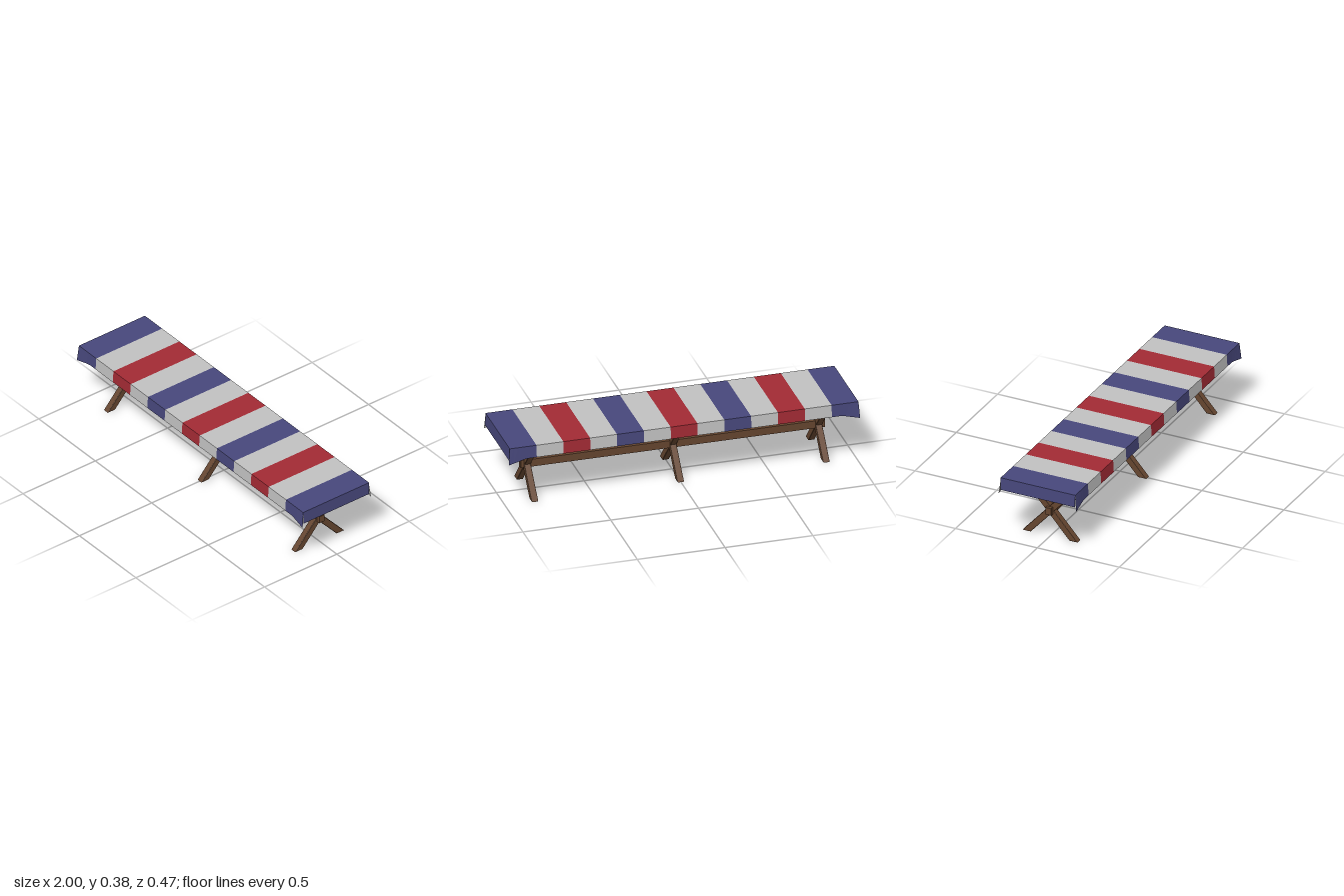
import * as THREE from 'three';

const mat = (name, color) => new THREE.MeshStandardMaterial({ name, color });

// Timber: a (z, y) outline run along x with chamfers of size b, centred on x = cx
function timber(name, outline, length, cx, material, b = 0.002) {
  const shape = new THREE.Shape(outline.map(([z, y]) => new THREE.Vector2(-z, y)));
  const geo = new THREE.ExtrudeGeometry(shape, {
    depth: length - 2 * b, bevelEnabled: true, bevelSize: b,
    bevelThickness: b, bevelOffset: -b, bevelSegments: 1,
  });
  geo.translate(0, 0, b - length / 2).rotateY(Math.PI / 2).translate(cx, 0, 0);
  const mesh = new THREE.Mesh(geo, material);
  mesh.name = name;
  return mesh;
}

const rect = (z0, z1, y0, y1) => [[z0, y0], [z1, y0], [z1, y1], [z0, y1]];

// Flat-shaded sheet from rows of points; flip turns it to face the other way
function sheet(name, rows, material, flip = false) {
  const pos = [];
  for (let i = 0; i < rows.length - 1; i++) {
    for (let j = 0; j < rows[i].length - 1; j++) {
      const a = rows[i][j], b = rows[i + 1][j], c = rows[i + 1][j + 1], d = rows[i][j + 1];
      const tris = flip ? [a, c, b, a, d, c] : [a, b, c, a, c, d];
      tris.forEach((p) => pos.push(...p));
    }
  }
  const geo = new THREE.BufferGeometry();
  geo.setAttribute('position', new THREE.Float32BufferAttribute(pos, 3));
  geo.computeVertexNormals();
  const mesh = new THREE.Mesh(geo, material);
  mesh.name = name;
  return mesh;
}

export function createModel() {
  const model = new THREE.Group();
  model.name = 'tableWithCloth';
  const wood = mat('brown wood', 0x65452f);
  const plankWood = mat('light brown wood', 0x835539);
  const blue = mat('blue cloth', 0x47477b);
  const red = mat('red cloth', 0xa22a34);
  const white = mat('white cloth', 0xc1c1c1);
  white.side = THREE.DoubleSide;

  // Crossed legs and the rail above each pair
  const topY = 0.342;
  const centre = (y) => (0.16 - y) * 0.897;
  for (const x of [-0.83, 0, 0.83]) {
    const trestle = new THREE.Group();
    trestle.name = 'trestle';
    for (const s of [-1, 1]) {
      const leg = [
        [centre(0) - 0.025, 0], [centre(0) + 0.025, 0],
        [centre(topY) + 0.025, topY], [centre(topY) - 0.025, topY],
      ].map(([z, y]) => [s * z, y]);
      trestle.add(timber('leg', leg, 0.036, x, wood));
    }
    trestle.add(timber('topRail', rect(-0.195, 0.195, 0.314, topY), 0.046, x, wood));
    model.add(trestle);
  }

  // Long beam through the crossings
  model.add(timber('stretcher', rect(-0.0175, 0.0175, 0.139, 0.183), 1.735, 0, wood, 0.001));

  // Table top planks
  const count = 7, width = 0.446 / count;
  for (let i = 0; i < count; i++) {
    const z = -0.223 + i * width;
    model.add(timber('plank', rect(z, z + width, 0.34, 0.371), 1.97, 0, plankWood, 0.004));
  }

  // Cloth section at x: front hem, front edge, back edge, back hem
  const END = 0.993, TOP = 0.375, EDGE = 0.228;
  const section = (x, inset) => {
    const t = Math.max(0, (Math.abs(x) - 0.9) / (END - 0.9));
    const hem = 0.304 - 0.025 * t;
    const flare = EDGE + 0.004 + 0.005 * t;
    const hx = x * (1 + 0.007 * t);
    const y = TOP - inset, z = EDGE - inset;
    return [[hx, hem, flare], [x, y, z], [x, y, -z], [hx, hem, -flare]];
  };

  // Thirteen stripes, each with a white lining just inside that meets it at the hem
  const cloth = new THREE.Group();
  cloth.name = 'tablecloth';
  const pattern = [blue, white, red, white];
  const band = (2 * END) / 13;
  for (let i = 0; i < 13; i++) {
    const xs = Array.from({ length: 7 }, (_, k) => -END + (i + k / 6) * band);
    cloth.add(sheet('stripe', xs.map((x) => section(x, 0)), pattern[i % 4]));
    cloth.add(sheet('lining', xs.map((x) => section(x, 0.002)), white, true));
  }

  // End flaps, lined the same way
  for (const s of [-1, 1]) {
    const flap = (inset) => [s, -s].map((q) => [
      [s * 0.996, 0.302, q * 0.227], [s * (END - inset), TOP - inset, q * EDGE],
    ]);
    cloth.add(sheet('endFlap', flap(0), blue));
    cloth.add(sheet('endLining', flap(0.002), white, true));
  }
  model.add(cloth);
  return model;
}
